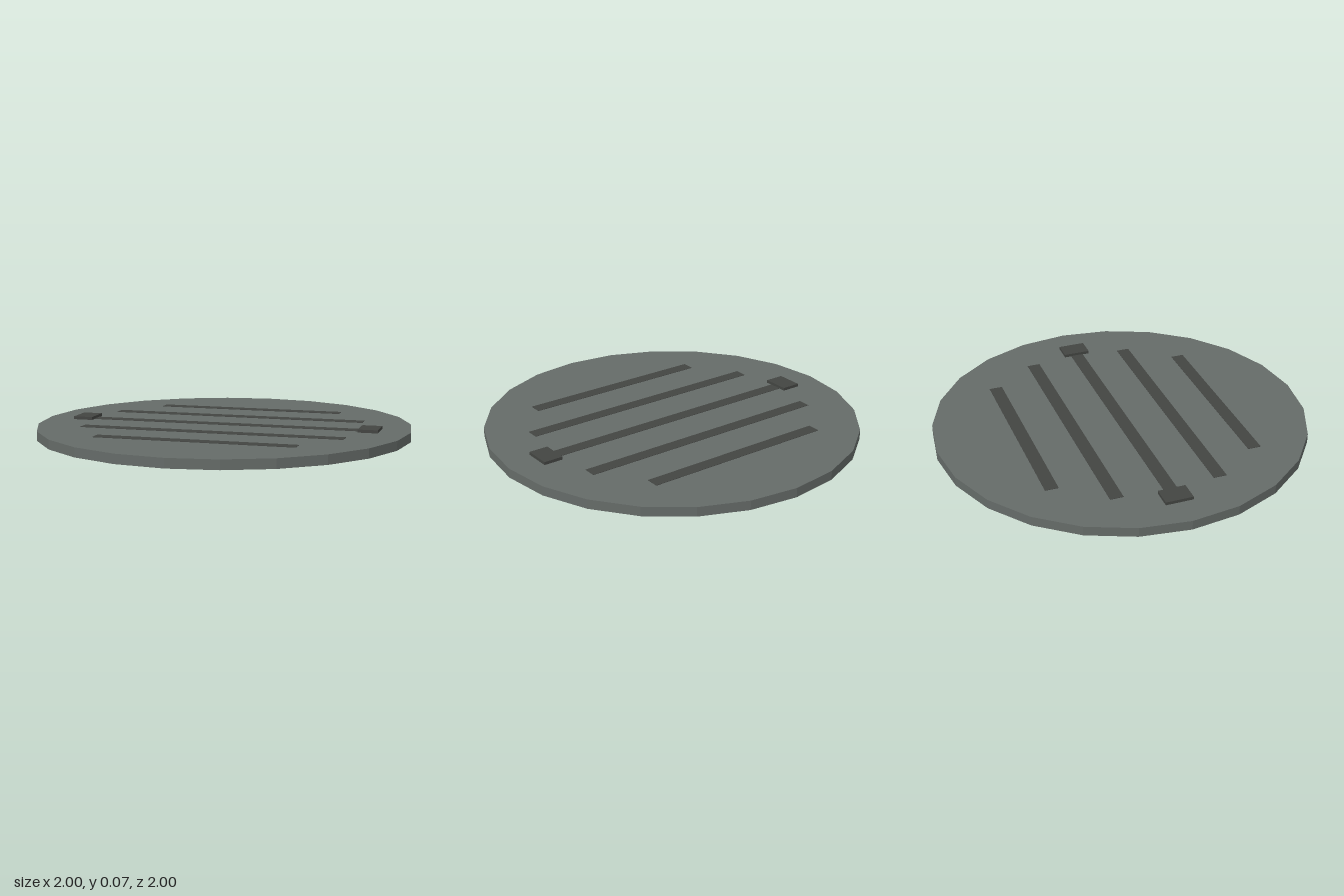
import * as THREE from 'three';

export function createModel() {
  const group = new THREE.Group();
  const plateMat = new THREE.MeshStandardMaterial({ color: 0x656b68, flatShading: true });
  const darkMat = new THREE.MeshStandardMaterial({ color: 0x434542, flatShading: true });

  const add = (name, geometry, material, x, y, z) => {
    const mesh = new THREE.Mesh(geometry, material);
    mesh.name = name;
    mesh.position.set(x, y, z);
    group.add(mesh);
  };

  // round 24-sided cover plate
  const thickness = 0.05;
  add('coverPlate', new THREE.CylinderGeometry(1, 1, thickness, 24), plateMat, 0, thickness / 2, 0);

  // five parallel drain slots, almost flush with the plate and shorter towards the rim
  const slotLengths = [1.05, 1.41, 1.58, 1.41, 1.05];
  slotLengths.forEach((length, i) => {
    add('drainSlot', new THREE.BoxGeometry(length, 0.012, 0.07), darkMat, 0, 0.046, (i - 2) * 0.273);
  });

  // raised lifting lugs at both ends of the middle slot
  for (const side of [-1, 1]) {
    add('liftingLug', new THREE.BoxGeometry(0.105, 0.025, 0.145), darkMat, side * 0.787, 0.0535, 0);
  }

  return group;
}
